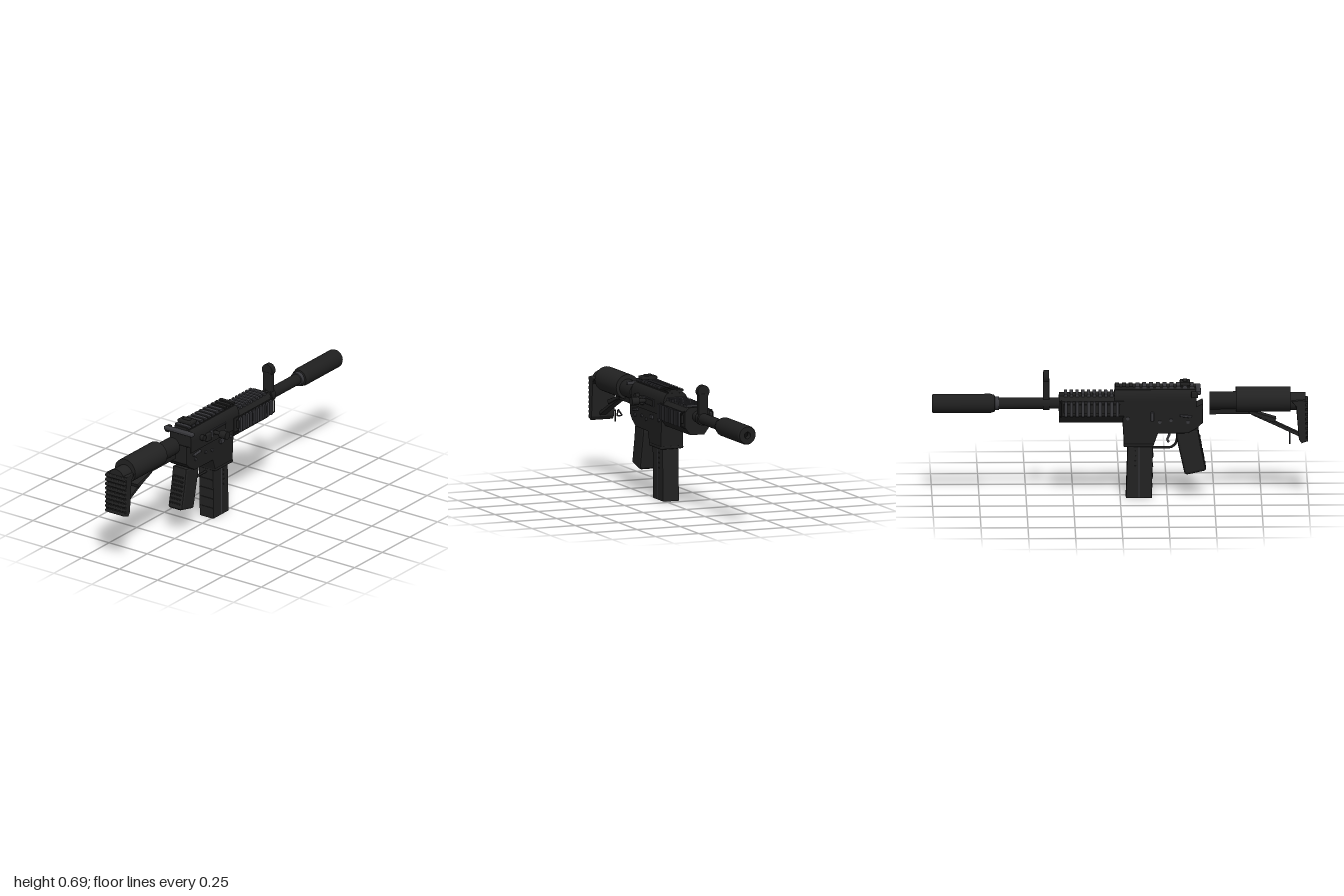
import * as THREE from 'three';
import { RoundedBoxGeometry } from 'three/addons/geometries/RoundedBoxGeometry.js';

const mat = (name, color) => new THREE.MeshStandardMaterial({ name, color });

export function createModel() {
  const black = mat('black metal', 0x1f1f1f);
  const polymer = mat('black polymer', 0x222222);
  const grey = mat('dark grey metal', 0x38383c);
  const bore = mat('bore black', 0x0c0c0c);

  const root = new THREE.Group();
  const body = new THREE.Group();
  body.name = 'body';
  body.position.x = -0.032; // the handle on one side shifts the centre line
  root.add(body);

  // ---- helpers: x is measured from the centre line ----
  const add = (name, geo, m, x = 0, y = 0, z = 0) => {
    const mesh = new THREE.Mesh(geo, m);
    mesh.name = name;
    mesh.position.set(x, y, z);
    body.add(mesh);
    return mesh;
  };
  const box = (name, m, w, h, d, x, y, z) => add(name, new THREE.BoxGeometry(w, h, d), m, x, y, z);
  const soft = (name, m, w, h, d, x, y, z, r = 0.006) =>
    add(name, new RoundedBoxGeometry(w, h, d, 2, r), m, x, y, z);
  const rodX = (name, m, r, x0, x1, y, z, n = 20) =>
    add(name, new THREE.CylinderGeometry(r, r, x1 - x0, n).rotateZ(Math.PI / 2), m, (x0 + x1) / 2, y, z);
  const rodZ = (name, m, r, z0, z1, y, n = 32) =>
    add(name, new THREE.CylinderGeometry(r, r, Math.abs(z1 - z0), n).rotateX(Math.PI / 2), m, 0, y, (z0 + z1) / 2);
  // side outline [z, y], extruded across the width
  const slab = (name, m, pts, w, x = 0, bevel = 0.006) => {
    const shape = new THREE.Shape(pts.map(([z, y]) => new THREE.Vector2(-z, y)));
    const geo = new THREE.ExtrudeGeometry(shape, {
      depth: w - 2 * bevel, bevelEnabled: bevel > 0, bevelSize: bevel, bevelOffset: -bevel,
      bevelThickness: bevel, bevelSegments: 2,
    });
    geo.translate(0, 0, -w / 2 + bevel).rotateY(Math.PI / 2);
    return add(name, geo, m, x);
  };
  // front outline [x, y], extruded along z
  const bar = (name, m, shape, z0, z1) =>
    add(name, new THREE.ExtrudeGeometry(shape, { depth: z1 - z0, bevelEnabled: false, curveSegments: 16 }), m, 0, 0, z0);
  const wire = (name, m, pts, r, closed = false) => {
    const path = new THREE.CurvePath();
    const v = pts.map((p) => new THREE.Vector3(...p));
    if (closed) v.push(v[0].clone());
    for (let i = 0; i + 1 < v.length; i++) path.add(new THREE.LineCurve3(v[i], v[i + 1]));
    return add(name, new THREE.TubeGeometry(path, (v.length - 1) * 6, r, 6, false), m);
  };

  // ---- stock ----
  rodZ('bufferTube', black, 0.048, 0.475, 0.64, 0.522);
  box('bufferTubeKeel', black, 0.034, 0.04, 0.22, 0, 0.47, 0.585);
  rodZ('stockSleeve', polymer, 0.067, 0.615, 0.905, 0.528);
  rodZ('stockEnd', polymer, 0.048, 0.9, 0.985, 0.516);
  soft('stockUnderside', polymer, 0.06, 0.05, 0.26, 0, 0.492, 0.765);
  slab('buttPlate', polymer, [
    [0.985, 0.535], [0.99, 0.31], [0.965, 0.3], [0.95, 0.32], [0.935, 0.5], [0.91, 0.53],
  ], 0.134);
  for (let i = 0; i < 9; i++) {
    soft('buttPadRidge', polymer, 0.13, 0.017, 0.022, 0, 0.318 + i * 0.0255, 0.988, 0.005);
  }
  slab('stockStrut', polymer, [
    [0.955, 0.345], [0.955, 0.325], [0.83, 0.385], [0.70, 0.445], [0.66, 0.48], [0.72, 0.48], [0.735, 0.45],
  ], 0.04, 0, 0.004);
  slab('stockLever', polymer, [[0.83, 0.428], [0.82, 0.405], [0.70, 0.45], [0.70, 0.468]], 0.056, 0, 0.004);
  wire('slingLoop', grey, [[-0.06, 0.325, 0.9], [-0.09, 0.325, 0.9], [-0.066, 0.36, 0.9]].map(([x, y, z]) => [x, y, z]), 0.004, true);
  wire('slingLoopTail', black, [[-0.05, 0.36, 0.9], [-0.05, 0.295, 0.9]], 0.004);

  // ---- receiver ----
  const upper = new THREE.Shape();
  upper.moveTo(-0.07, 0.47).lineTo(0.07, 0.47).lineTo(0.07, 0.535);
  upper.quadraticCurveTo(0.07, 0.575, 0.046, 0.592).lineTo(-0.046, 0.592);
  upper.quadraticCurveTo(-0.07, 0.575, -0.07, 0.535);
  bar('upperReceiver', black, upper, -0.03, 0.405);
  slab('lowerReceiver', black, [
    [0.44, 0.52], [0.44, 0.415], [0.41, 0.385], [0.36, 0.357], [0.2, 0.355], [0.175, 0.285],
    [0.02, 0.285], [0.012, 0.42], [0.012, 0.5], [0.4, 0.5],
  ], 0.13);
  soft('magazineWellLip', black, 0.134, 0.018, 0.16, 0, 0.292, 0.098);
  box('topRail', black, 0.08, 0.016, 0.43, 0, 0.598, 0.187);
  for (let i = 0; i < 12; i++) {
    box('topRailTooth', i < 3 ? black : grey, 0.094, 0.012, 0.021, 0, 0.605, -0.015 + i * 0.036);
  }
  // rear sight
  soft('rearSightBase', black, 0.09, 0.02, 0.055, 0, 0.62, 0.345);
  soft('rearSightLeaf', black, 0.046, 0.022, 0.024, 0, 0.627, 0.345);
  // charging handle
  soft('chargingHandle', grey, 0.188, 0.02, 0.028, -0.001, 0.584, 0.415);
  soft('chargingLatch', black, 0.026, 0.034, 0.036, -0.085, 0.573, 0.395);

  // right-side controls
  rodX('boltHandleShaft', black, 0.011, 0.06, 0.12, 0.523, 0.2);
  rodX('boltHandleKnob', black, 0.022, 0.118, 0.16, 0.523, 0.2, 24);
  box('ejectionPort', grey, 0.008, 0.04, 0.14, 0.07, 0.522, 0.165);
  box('ejectionPortCover', black, 0.012, 0.03, 0.11, 0.072, 0.522, 0.155);
  soft('brassDeflector', black, 0.03, 0.045, 0.04, 0.07, 0.515, 0.255);
  rodX('forwardAssist', black, 0.016, 0.05, 0.09, 0.53, 0.31);
  soft('magazineRelease', grey, 0.016, 0.022, 0.03, 0.072, 0.445, 0.13, 0.004);
  for (const s of [-1, 1]) {
    const selector = soft('selectorLever', grey, 0.012, 0.013, 0.065, s * 0.07, 0.452, 0.35, 0.004);
    selector.rotation.x = 0.12;
    for (const [z, y] of [[0.36, 0.42], [0.21, 0.42], [0.27, 0.43], [0.04, 0.44]]) {
      rodX('receiverPin', grey, 0.009, s * 0.066 - 0.006, s * 0.066 + 0.006, y, z, 14);
    }
  }
  soft('boltCatch', grey, 0.014, 0.05, 0.018, -0.07, 0.45, 0.17, 0.004);

  // ---- grip and trigger ----
  slab('pistolGrip', polymer, [
    [0.415, 0.375], [0.43, 0.28], [0.457, 0.155], [0.45, 0.146], [0.355, 0.125], [0.342, 0.132],
    [0.298, 0.33], [0.295, 0.37],
  ], 0.094, 0, 0.014);
  for (let i = 0; i < 7; i++) {
    const rib = soft('gripRib', polymer, 0.07, 0.01, 0.02, 0, 0.18 + i * 0.024, 0.444 - i * 0.0045, 0.004);
    rib.rotation.x = 0.2;
  }
  wire('triggerGuard', black, [[0, 0.36, 0.315], [0, 0.285, 0.295], [0, 0.267, 0.27], [0, 0.267, 0.17]], 0.007);
  wire('trigger', grey, [[0, 0.37, 0.26], [0, 0.335, 0.262], [0, 0.31, 0.25], [0, 0.295, 0.258]], 0.007);

  // ---- magazine ----
  slab('magazine', polymer, [[0.175, 0.3], [0.168, 0], [0.03, 0], [0.04, 0.3]], 0.094, 0, 0.005);
  for (const y of [0.06, 0.115, 0.17, 0.225]) {
    box('magazineRib', polymer, 0.086, 0.004, 0.138, 0, y, 0.102 + y * 0.028);
  }
  for (const s of [-1, 1]) {
    box('magazineSeam', grey, 0.003, 0.28, 0.005, s * 0.047, 0.145, 0.1);
    for (let i = 0; i < 4; i++) rodX('magazineRivet', black, 0.004, s * 0.048 - 0.003, s * 0.048 + 0.003, 0.175 + i * 0.027, 0.08, 8);
  }

  // ---- handguard ----
  const guard = new THREE.Shape([
    [-0.04, 0.412], [0.04, 0.412], [0.072, 0.455], [0.072, 0.535], [0.048, 0.56], [-0.048, 0.56], [-0.072, 0.535], [-0.072, 0.455],
  ].map(([x, y]) => new THREE.Vector2(x, y)));
  bar('handguard', black, guard, -0.325, 0.02);
  for (let i = 0; i < 10; i++) {
    const z = -0.015 - i * 0.0305;
    box('handguardTopTooth', grey, 0.104, 0.016, 0.017, 0, 0.563, z);
    for (const s of [-1, 1]) box('sideRailTooth', grey, 0.014, 0.082, 0.017, s * 0.09, 0.497, z);
  }
  for (const s of [-1, 1]) {
    box('sideRail', black, 0.018, 0.046, 0.3, s * 0.079, 0.497, -0.152);
    wire('sideRailBracket', black, [[s * 0.068, 0.54, -0.315], [s * 0.092, 0.53, -0.315], [s * 0.092, 0.46, -0.315], [s * 0.068, 0.45, -0.315]], 0.004);
  }

  // ---- barrel, front sight and suppressor ----
  rodZ('barrel', black, 0.03, -0.32, -0.67, 0.51);
  rodZ('sightCollar', black, 0.037, -0.375, -0.41, 0.51);
  soft('frontSightPost', black, 0.054, 0.12, 0.034, 0, 0.585, -0.393);
  rodZ('frontSightDisc', black, 0.034, -0.378, -0.408, 0.656);
  rodZ('suppressorNeck', grey, 0.037, -0.643, -0.675, 0.51);
  const profile = [[0.037, 0.665], [0.045, 0.668], [0.051, 0.69], [0.051, 0.99], [0.046, 1], [0.018, 1], [0.018, 0.96]];
  // each span is lathed on its own so the rims stay crisp
  for (let i = 0; i + 1 < profile.length; i++) {
    const pts = [profile[i], profile[i + 1]].map(([r, d]) => new THREE.Vector2(r, d));
    add('suppressor', new THREE.LatheGeometry(pts, 36).rotateX(-Math.PI / 2), black, 0, 0.51, 0);
  }
  add('muzzleBore', new THREE.CircleGeometry(0.018, 24).rotateY(Math.PI), bore, 0, 0.51, -0.961);

  return root;
}
